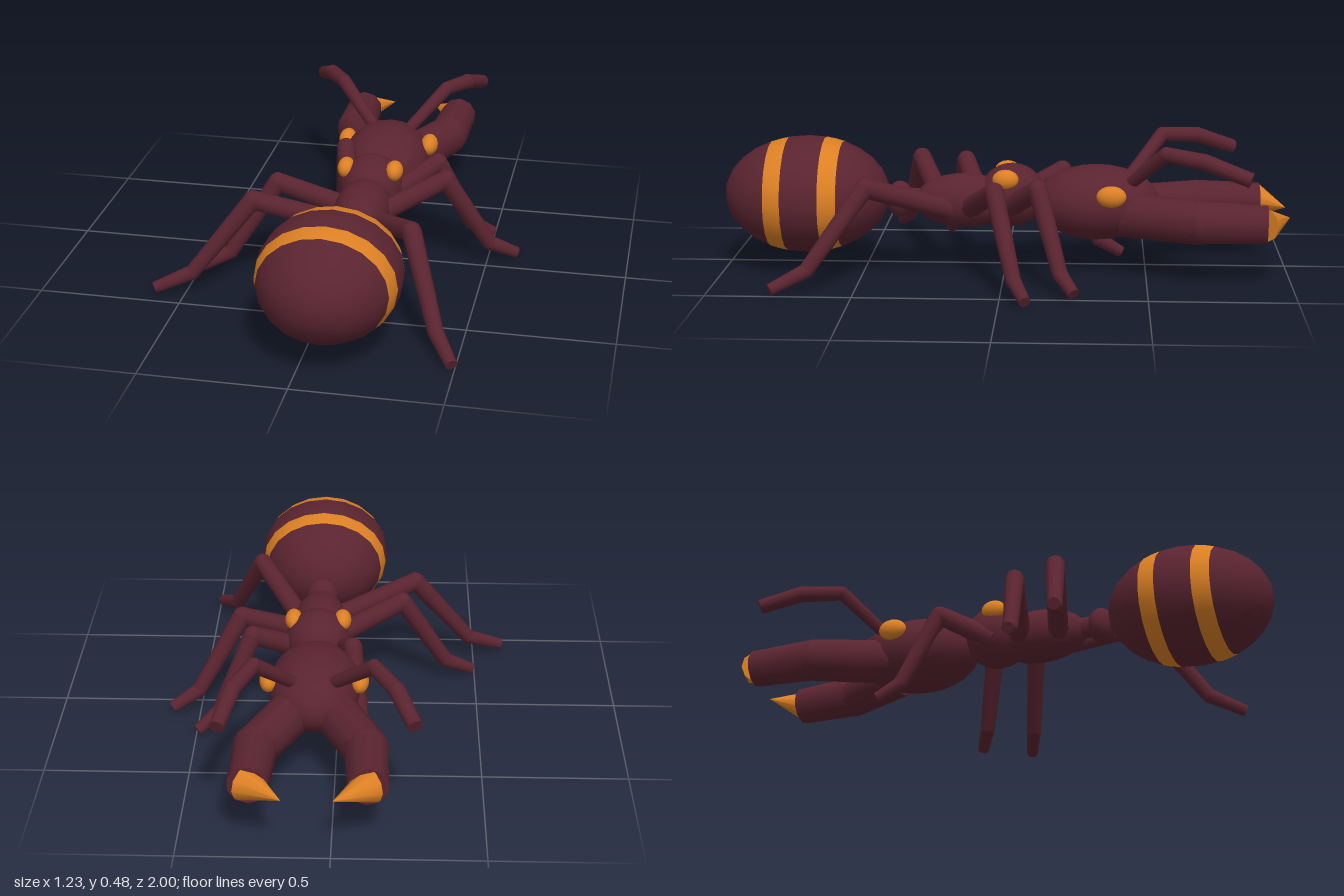
import * as THREE from 'three';

const shell = new THREE.MeshStandardMaterial({ color: 0x5a2430 });
shell.name = 'maroon shell';
const amber = new THREE.MeshStandardMaterial({ color: 0xdc8024 });
amber.name = 'amber';

const MID = 0.075; // x of the body's mirror line
const V = (x, y, z) => new THREE.Vector3(x, y, z);

export function createModel() {
  const model = new THREE.Group();
  model.name = 'ant';

  const add = (name, geometry, material, parent = model) => {
    const mesh = new THREE.Mesh(geometry, material);
    mesh.name = name;
    parent.add(mesh);
    return mesh;
  };

  // Ellipsoid with its poles along z; from/to cut it into latitude bands out of 14
  const ellipsoid = (name, center, radii, material = shell, from = 0, to = 14, parent = model) => {
    const step = Math.PI / 14;
    const g = new THREE.SphereGeometry(1, 20, to - from, 0, Math.PI * 2, from * step, (to - from) * step);
    g.rotateX(Math.PI / 2);
    g.scale(...radii);
    g.translate(...center);
    return add(name, g, material, parent);
  };

  // Tapered round bar from a to b
  const bar = (name, a, b, ra, rb, material, parent, sides = 10) => {
    const d = b.clone().sub(a);
    const mesh = add(name, new THREE.CylinderGeometry(rb, ra, d.length(), sides), material, parent);
    mesh.position.copy(a).lerp(b, 0.5);
    mesh.quaternion.setFromUnitVectors(V(0, 1, 0), d.normalize());
    return mesh;
  };

  // Chain of tapered bars with rounded joints
  const limb = (name, points, radii) => {
    const group = new THREE.Group();
    group.name = name;
    model.add(group);
    for (let i = 0; i < points.length - 1; i++) {
      bar(name + 'Segment', points[i], points[i + 1], radii[i], radii[i + 1], shell, group);
      if (i > 0) {
        const joint = add(name + 'Joint', new THREE.SphereGeometry(radii[i], 10, 8), shell, group);
        joint.position.copy(points[i]);
      }
    }
    return group;
  };

  // Striped abdomen
  const abdomen = new THREE.Group();
  abdomen.name = 'abdomen';
  model.add(abdomen);
  [[0, 5, shell], [5, 6, amber], [6, 8, shell], [8, 9, amber], [9, 14, shell]].forEach(([from, to, mat]) =>
    ellipsoid(mat === amber ? 'abdomenStripe' : 'abdomenShell',
      [MID, 0.272, 0.705], [0.243, 0.207, 0.293], mat, from, to, abdomen));

  // Waist, thorax and head
  ellipsoid('waistNode', [MID, 0.255, 0.375], [0.06, 0.065, 0.048]);
  bar('waist', V(MID, 0.255, 0.26), V(MID, 0.26, 0.44), 0.04, 0.035, shell, model);
  ellipsoid('rearThorax', [MID, 0.253, 0.145], [0.097, 0.097, 0.175]);
  ellipsoid('frontThorax', [MID, 0.275, -0.025], [0.115, 0.113, 0.117]);
  ellipsoid('head', [MID, 0.252, -0.325], [0.16, 0.133, 0.222]);

  for (const s of [-1, 1]) {
    const side = s > 0 ? 'left' : 'right';
    // Eyes and thorax spots
    ellipsoid(side + 'Eye', [MID + s * 0.155, 0.302, -0.375], [0.032, 0.038, 0.052], amber);
    ellipsoid(side + 'ThoraxSpot', [MID + s * 0.087, 0.345, -0.005], [0.031, 0.036, 0.046], amber);

    // Heavy jaws with inward-pointing tips
    const x = (v) => MID + s * v;
    limb(side + 'Jaw',
      [V(x(0.065), 0.22, -0.43), V(x(0.182), 0.22, -0.68), V(x(0.192), 0.218, -0.912)],
      [0.08, 0.076, 0.068]);
    bar(side + 'JawTip', V(x(0.201), 0.219, -0.9), V(x(0.081), 0.219, -1), 0.06, 0, amber, model);
  }

  // Antennae, each posed a little differently
  const antennaRadii = [0.022, 0.026, 0.029, 0.026];
  limb('leftAntenna',
    [V(0.14, 0.33, -0.44), V(0.265, 0.46, -0.56), V(0.325, 0.445, -0.69), V(0.365, 0.392, -0.845)], antennaRadii);
  limb('rightAntenna',
    [V(0.01, 0.33, -0.44), V(-0.13, 0.46, -0.56), V(-0.205, 0.445, -0.69), V(-0.264, 0.392, -0.825)], antennaRadii);

  // Legs: hip and foot in x, z; knee and ankle lie between them
  const legs = [
    ['leftFrontLeg', 0.13, -0.01, 0.495, -0.25],
    ['leftMiddleLeg', 0.13, 0.125, 0.6, -0.09],
    ['leftRearLeg', 0.14, 0.2, 0.49, 0.78],
    ['rightFrontLeg', 0.0, -0.01, -0.112, -0.415],
    ['rightMiddleLeg', 0.01, 0.09, -0.49, 0.235],
    ['rightRearLeg', 0.02, 0.23, -0.605, 0.437],
  ];
  for (const [name, hx, hz, fx, fz] of legs) {
    const at = (t, y) => V(hx + (fx - hx) * t, y, hz + (fz - hz) * t);
    limb(name, [at(0, 0.235), at(0.47, 0.34), at(0.8, 0.075), at(1, 0.024)], [0.038, 0.034, 0.027, 0.021]);
  }

  return model;
}
